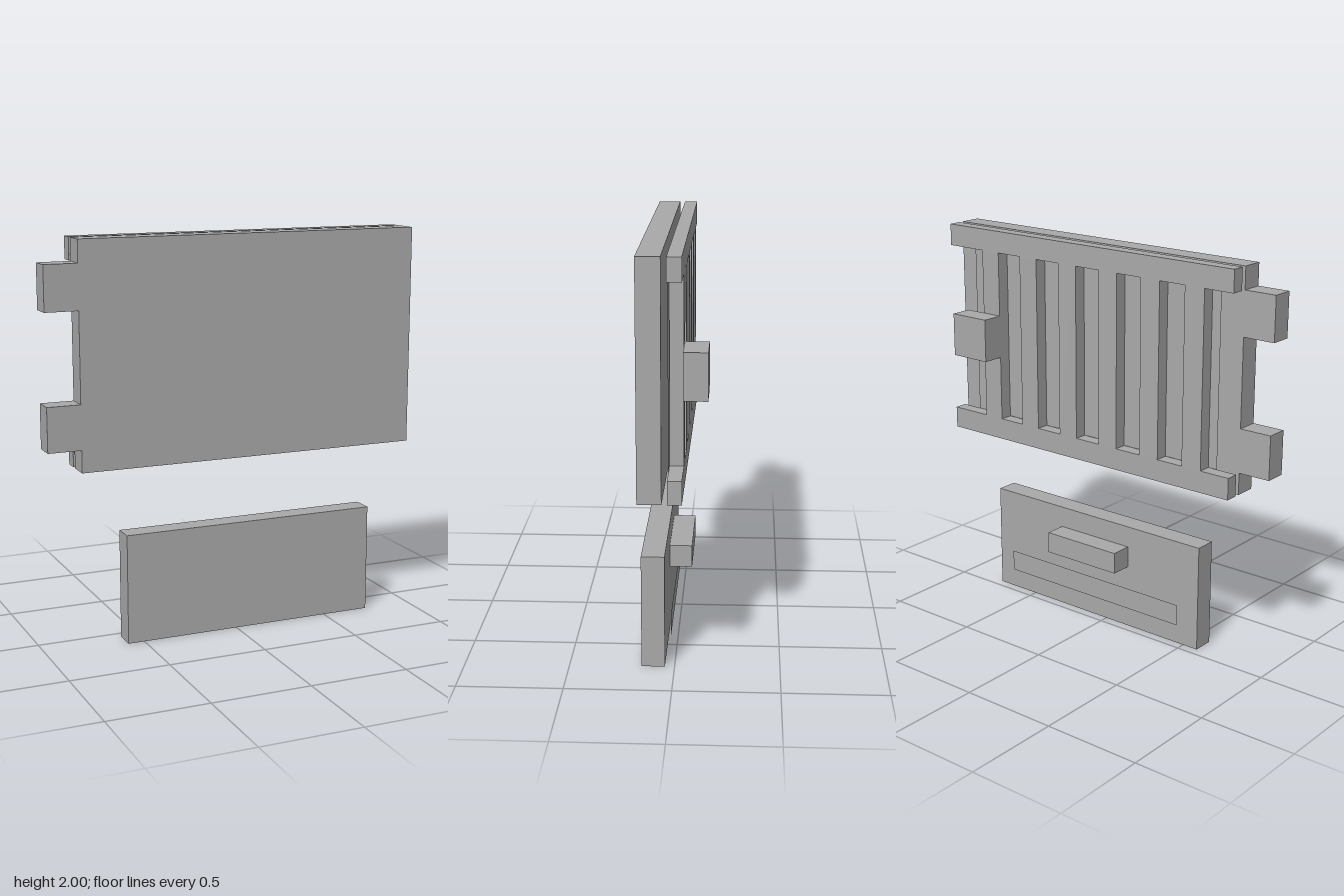
import * as THREE from 'three';

export function createModel() {
  const model = new THREE.Group();
  model.name = 'hingedPanelSet';
  const grey = new THREE.MeshStandardMaterial({ color: 0xaaaaaa });
  grey.name = 'plain grey';
  const greySheet = grey.clone();
  greySheet.side = THREE.DoubleSide;

  // Box given by its lower and upper limits on each axis
  const box = (parent, name, [x0, x1], [y0, y1], [z0, z1]) => {
    const mesh = new THREE.Mesh(new THREE.BoxGeometry(x1 - x0, y1 - y0, z1 - z0), grey);
    mesh.position.set((x0 + x1) / 2, (y0 + y1) / 2, (z0 + z1) / 2);
    mesh.name = name;
    parent.add(mesh);
  };

  // Flat sheet facing the back
  const sheet = (parent, name, [x0, x1], [y0, y1], z) => {
    const mesh = new THREE.Mesh(new THREE.PlaneGeometry(x1 - x0, y1 - y0), greySheet);
    mesh.position.set((x0 + x1) / 2, (y0 + y1) / 2, z);
    mesh.rotation.y = Math.PI;
    mesh.name = name;
    parent.add(mesh);
  };

  const part = (name) => {
    const group = new THREE.Group();
    group.name = name;
    model.add(group);
    return group;
  };

  const u = 0.111;                 // basic block size
  const slabZ = [0.046, 0.157];
  const gridZ = [-0.045, 0.021];
  const wide = [-0.805, 0.972];
  const bottom = 0.89, top = 2;

  // Upper panel with two hinge tabs on its right edge
  const door = part('door');
  box(door, 'doorPanel', wide, [bottom, top], slabZ);
  for (const y of [bottom + u, top - 3 * u]) {
    box(door, 'hingeTab', [-0.972, wide[0]], [y, y + 2 * u], slabZ);
  }
  sheet(door, 'backSheet', [wide[0] + u, wide[1] - u], [bottom + u, top - u], 0.022);

  // Grille behind the panel: two rails joined by six bars
  const grille = part('grille');
  box(grille, 'lowerRail', wide, [bottom, bottom + u], gridZ);
  box(grille, 'upperRail', wide, [top - u, top], gridZ);
  for (let i = 0; i < 6; i++) {
    const x = 0.638 - i * 0.2565;
    box(grille, 'bar', [x, x + u], [bottom + u, top - u], gridZ);
  }
  box(grille, 'latchBlock', [0.638, 0.86], [1.337, 1.559], [-0.157, gridZ[0]]);

  // Separate lower panel with a handle and a strip on its back
  const flap = part('flap');
  box(flap, 'flapPanel', [-0.584, 0.748], [0, 5 * u], slabZ);
  box(flap, 'flapHandle', [-0.14, 0.304], [3 * u, 4 * u], [-0.065, slabZ[0]]);
  sheet(flap, 'flapStrip', [-0.473, 0.637], [u, 2 * u], 0.022);

  return model;
}
